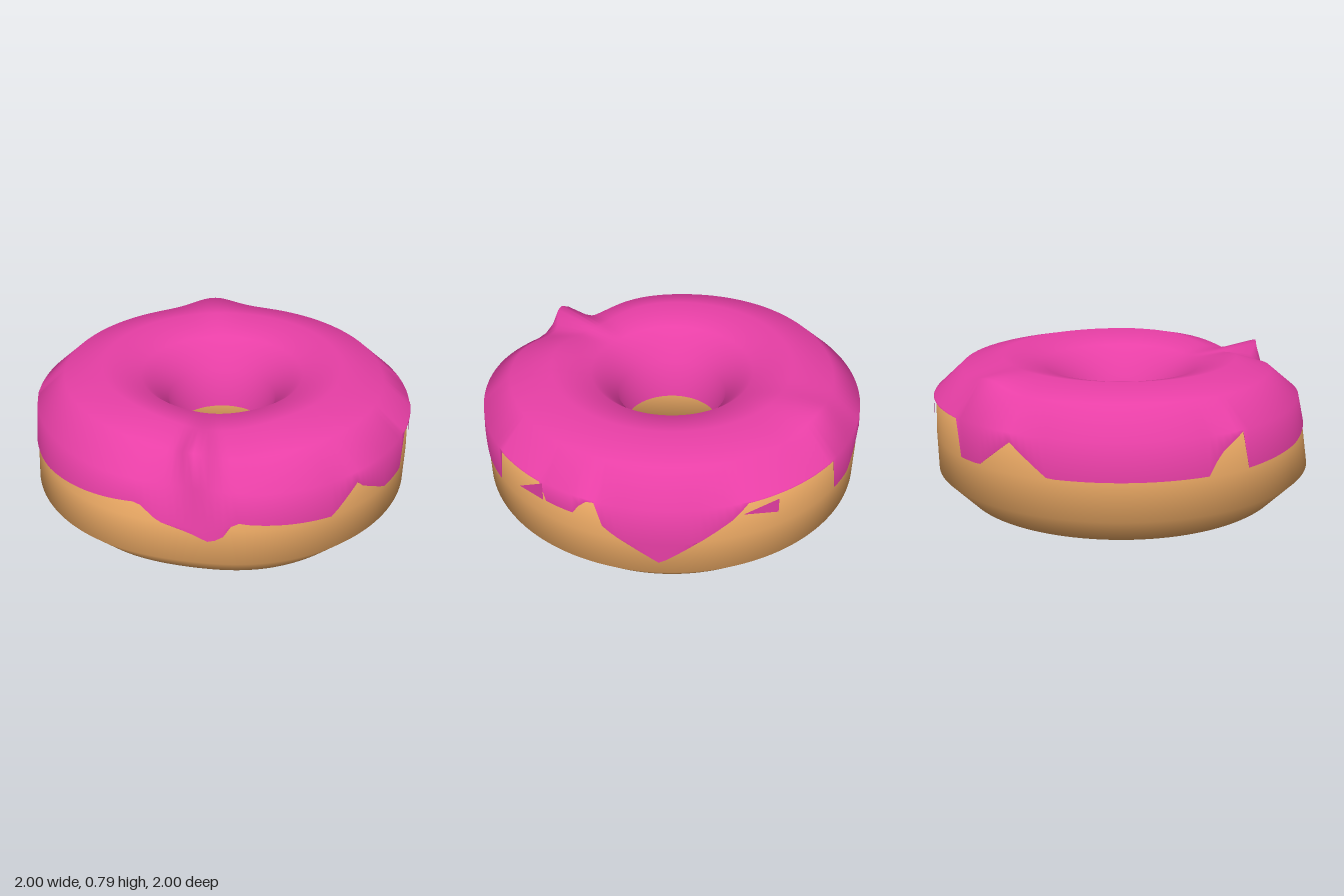
import * as THREE from 'three';

const rad = THREE.MathUtils.degToRad;
const { smoothstep, clamp } = THREE.MathUtils;

// Lower rim of the icing: [angle in degrees from +x towards +z, height]
const rim = [
  [0, 0.50], [2, 0.54], [11, 0.40], [36, 0.43], [40, 0.44], [41.5, 0.37], [46.5, 0.32],
  [52.5, 0.36], [62, 0.40], [68.5, 0.48], [90, 0.44], [107, 0.41], [133, 0.40],
  [135, 0.59], [143, 0.50], [146, 0.40], [191, 0.40], [202.5, 0.55], [214, 0.40],
  [223, 0.40], [225, 0.59], [258, 0.59], [259, 0.53], [281, 0.27],
  [286, 0.33], [294, 0.42], [297, 0.46], [299, 0.59], [303, 0.58], [305, 0.49],
  [315, 0.49], [316, 0.59], [336, 0.59], [337.5, 0.40], [349, 0.40], [360, 0.50],
];

function rimHeight(a) {
  const k = Math.max(1, rim.findIndex(p => p[0] >= a));
  const [a0, y0] = rim[k - 1], [a1, y1] = rim[k];
  return y0 + (y1 - y0) * (a - a0) / (a1 - a0);
}

const columns = 160;
const angles = Array.from({ length: columns }, (_, i) => i * 360 / columns);

const bell = (a, centre, width) => Math.exp(-(((a - centre) / width) ** 2));

// Uneven hand-made shape: leaning front, flattened front corner, sunken top
function deform(r, y, a) {
  const outer = smoothstep(r, 0.45, 0.9);
  const upper = clamp((y - 0.22) / 0.4, 0, 1);
  const front = bell(a, 90, 38);
  const dr = outer * (front * (0.015 - 0.07 * upper) - 0.075 * bell(a, 54, 21) * (0.4 + 0.6 * upper));
  const sunk = smoothstep(r, 0.35, 0.65) * smoothstep(y, 0.57, 0.72) * bell(a, 49, 24);
  return [r + dr, y + outer * front * 0.02 * (1 - upper) - 0.055 * sunk];
}

const place = (r, y, a) => [r * Math.cos(rad(a)), y, r * Math.sin(rad(a))];

// Surface from one cross-section per column, going inner, top, outer
function ringSurface(section, closed) {
  const pos = [], idx = [];
  const n = section(0).length;
  for (const a of angles)
    for (const [r, y] of section(a)) pos.push(...place(r, y, a));
  for (let i = 0; i < columns; i++)
    for (let j = 0; j < (closed ? n : n - 1); j++) {
      const i2 = (i + 1) % columns, j2 = (j + 1) % n;
      const p = i * n + j, q = i2 * n + j, s = i * n + j2, t = i2 * n + j2;
      idx.push(p, q, s, q, t, s);
    }
  const g = new THREE.BufferGeometry();
  g.setAttribute('position', new THREE.Float32BufferAttribute(pos, 3));
  g.setIndex(idx);
  g.computeVertexNormals();
  return g;
}

const upperProfile = [
  [0.26, 0.39], [0.295, 0.59], [0.43, 0.725], [0.63, 0.775], [0.84, 0.725], [0.985, 0.59],
];
const lowerProfile = [[0.99, 0.39], [0.985, 0.2], [0.84, 0.055], [0.63, 0], [0.43, 0.055], [0.295, 0.2]];

const doughSection = a => [...upperProfile, ...lowerProfile].map(([r, y]) => deform(r, y, a));

// Icing sits a little outside the dough and ends at the rim
function icingSection(a) {
  const end = rimHeight(a);
  const points = [...upperProfile, [0.988, Math.max(end, 0.39)], [0.986, end]];
  return points.map(([r, y], j) => {
    const [r1, y1] = deform(r, y, a);
    const dx = r - 0.63, dy = j > 5 ? 0 : y - 0.39, len = Math.hypot(dx, dy);
    // raised peak above the front drip and a lower lump at the back
    const peak = j === 4 ? bell(a, 51.5, 6) : 0;
    const lump = j === 4 ? bell(a, 220, 10) : 0;
    return [
      r1 + 0.01 * dx / len + 0.115 * peak + 0.01 * lump,
      y1 + 0.01 * dy / len + 0.085 * peak + 0.045 * lump,
    ];
  });
}

// Loose pointed tab of icing lying on the side of the dough
function flap(corners) {
  const g = new THREE.BufferGeometry();
  const pos = corners.flatMap(([a, y]) => place(1, y, a));
  g.setAttribute('position', new THREE.Float32BufferAttribute(pos, 3));
  g.computeVertexNormals();
  return g;
}

export function createModel() {
  const group = new THREE.Group();
  group.name = 'donut';
  const add = (name, geometry, material) => {
    const mesh = new THREE.Mesh(geometry, material);
    mesh.name = name;
    group.add(mesh);
  };

  const doughMaterial = new THREE.MeshStandardMaterial({ color: 0xefac66 });
  const icingMaterial = new THREE.MeshStandardMaterial({ color: 0xe83fa6, side: THREE.DoubleSide });

  add('dough', ringSurface(doughSection, true), doughMaterial);
  add('icing', ringSurface(icingSection, false), icingMaterial);
  add('rightFlap', flap([[316, 0.49], [316, 0.59], [326, 0.48]]), icingMaterial);
  add('backFlap', flap([[247, 0.48], [247, 0.56], [258, 0.53]]), icingMaterial);
  return group;
}
